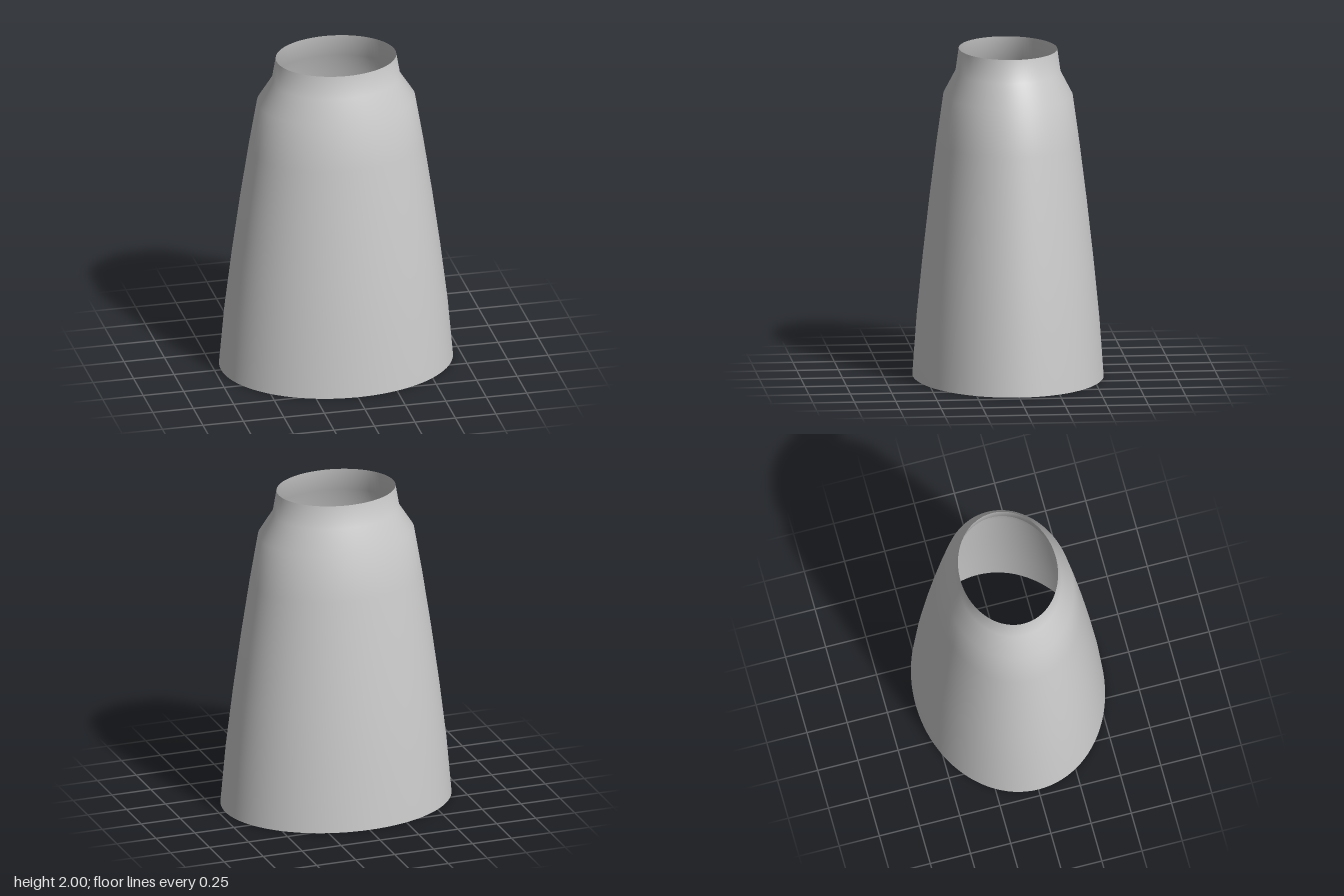
import * as THREE from 'three';

export function createModel() {
  const group = new THREE.Group();
  group.name = 'ovalSleeve';

  const grey = new THREE.MeshStandardMaterial({ color: 0xcccccc, side: THREE.DoubleSide });
  grey.name = 'light grey';

  // Half-width and height: flared body, sloping shoulder, short collar
  const profile = [
    [0.71, 0], [0.678, 0.36], [0.634, 0.72], [0.584, 1.08],
    [0.53, 1.43], [0.48, 1.72], [0.39, 1.86], [0.366, 2],
  ].map(([x, y]) => new THREE.Vector2(x, y));

  // Open at both ends, flattened front to back into an oval
  const geometry = new THREE.LatheGeometry(profile, 96);
  geometry.scale(1, 1, 0.808);

  const shell = new THREE.Mesh(geometry, grey);
  shell.name = 'taperedShell';
  group.add(shell);
  return group;
}
